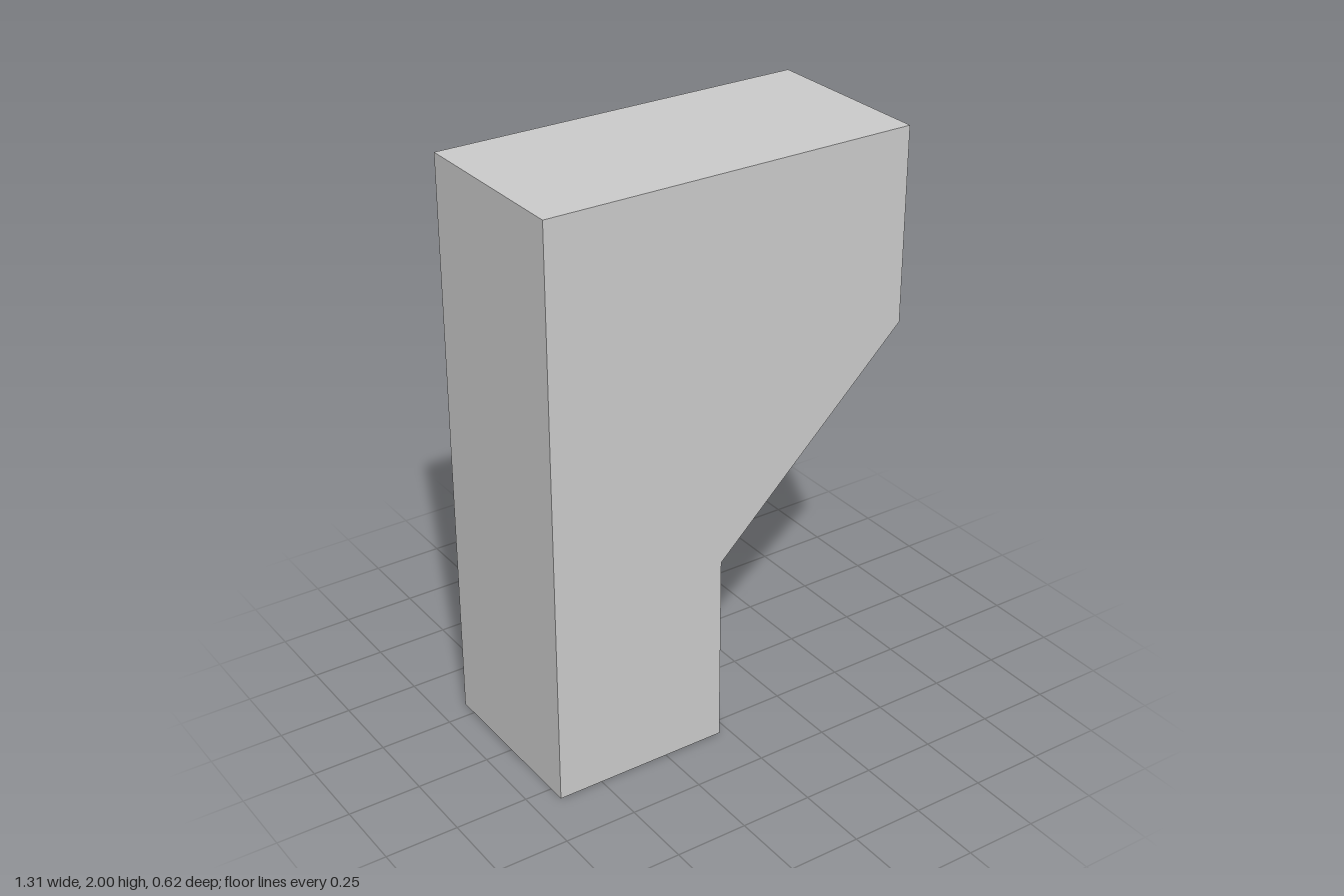
import * as THREE from 'three';

export function createModel() {
  const group = new THREE.Group();
  group.name = 'corbelColumn';

  // Side outline: narrow post flaring out to a wide head
  const outline = new THREE.Shape([
    [-0.655, 0], [-0.035, 0], [-0.035, 0.67],
    [0.655, 1.335], [0.655, 2], [-0.655, 2],
  ].map(([x, y]) => new THREE.Vector2(x, y)));

  // Extruded through the depth and centred on z
  const depth = 0.62;
  const geometry = new THREE.ExtrudeGeometry(outline, { depth, bevelEnabled: false });
  geometry.translate(0, 0, -depth / 2);

  const material = new THREE.MeshStandardMaterial({ color: 0xcccccc, flatShading: true });
  const body = new THREE.Mesh(geometry, material);
  body.name = 'columnBody';
  group.add(body);
  return group;
}
